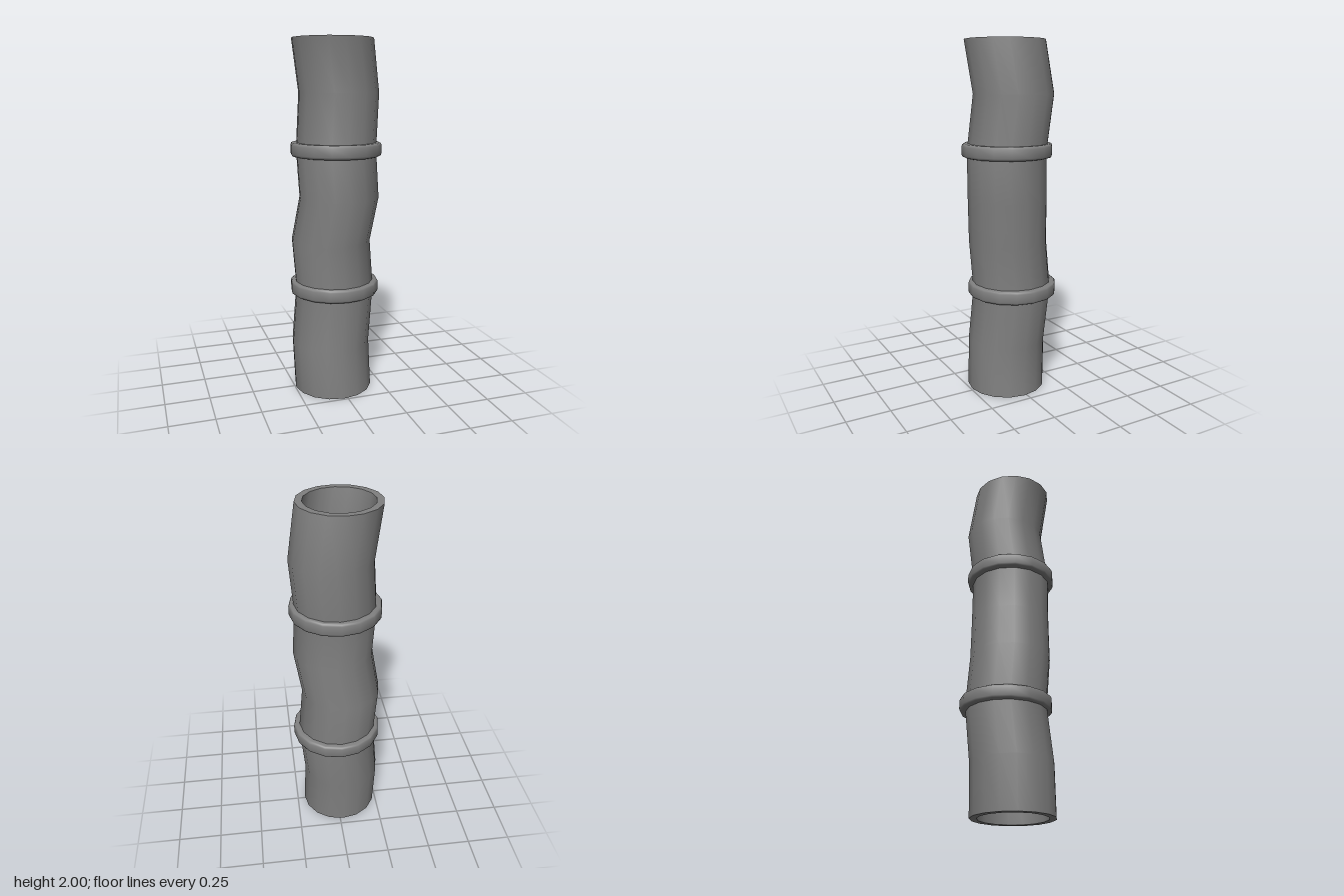
import * as THREE from 'three';
import { toCreasedNormals } from 'three/addons/utils/BufferGeometryUtils.js';

const SIDES = 16;

// Centre line of the crooked pipe: [x, y, z]
const SPINE = [
  [-0.02, 0, 0.016],
  [-0.031, 0.28, 0.005],
  [0, 0.6, -0.014],
  [-0.026, 0.88, -0.002],
  [0.016, 1.13, 0.022],
  [0, 1.4, 0.016],
  [0.025, 1.71, -0.013],
  [-0.02, 2, 0.016],
];

// Closed ring or tube turned from [radius, y] points, listed up the outside and down the inside
function turned(name, profile, material, shift) {
  const points = [...profile, profile[0]].map(([r, y]) => new THREE.Vector2(r, y));
  const geometry = new THREE.LatheGeometry(points, SIDES);
  if (shift) shift(geometry.attributes.position);
  const mesh = new THREE.Mesh(toCreasedNormals(geometry, 0.85), material);
  mesh.name = name;
  return mesh;
}

// Slide every level of the tube onto the spine
function followSpine(position) {
  for (let i = 0; i < position.count; i++) {
    const y = position.getY(i);
    const [x, , z] = SPINE.find((s) => Math.abs(s[1] - y) < 1e-4);
    position.setX(i, position.getX(i) + x);
    position.setZ(i, position.getZ(i) + z);
  }
}

export function createModel() {
  const model = new THREE.Group();
  model.name = 'pipe';
  const material = new THREE.MeshStandardMaterial({ color: 0x808080 });

  // Hollow pipe with flat rims
  const outer = SPINE.map(([, y]) => [0.225, y]);
  const inner = SPINE.map(([, y]) => [0.187, y]).reverse();
  model.add(turned('pipeWall', [...outer, ...inner], material, followSpine));

  // Two raised bands with softened edges
  const band = [
    [0.2, -0.038], [0.243, -0.038], [0.251, -0.034], [0.255, -0.024],
    [0.255, 0.024], [0.251, 0.034], [0.243, 0.038], [0.2, 0.038],
  ];
  [['lowerBand', 0.603, -0.015], ['upperBand', 1.402, 0.015]].forEach(([name, y, z]) => {
    const mesh = turned(name, band, material);
    mesh.position.set(0, y, z);
    model.add(mesh);
  });

  return model;
}
